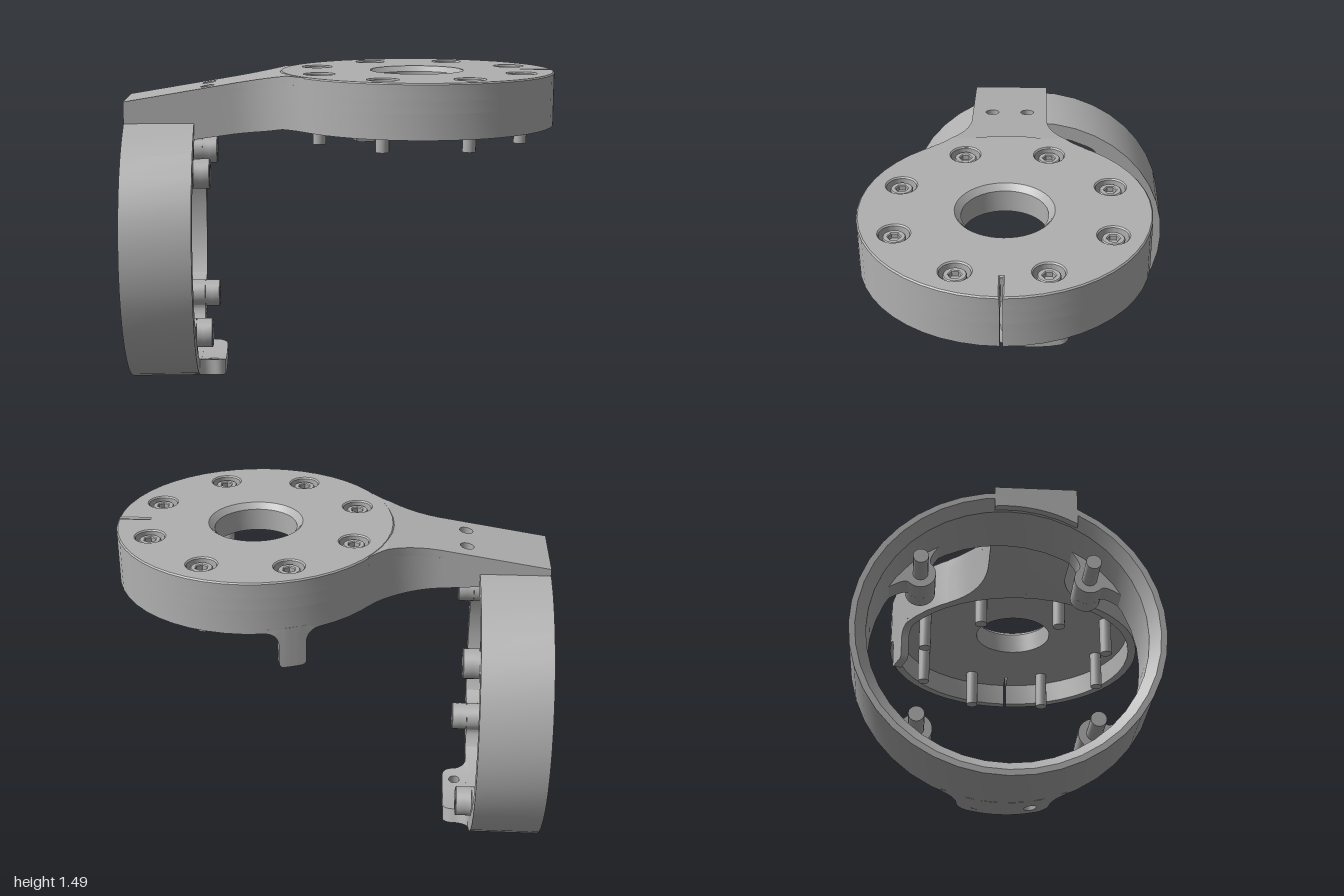
import * as THREE from 'three';
import { toCreasedNormals } from 'three/addons/utils/BufferGeometryUtils.js';

const metal = new THREE.MeshStandardMaterial({ color: 0xb0b0b0 });
metal.name = 'grey metal';

const DISC = { x: 0.355, z: 0.07, r: 0.64 };
const RING = { y: 0.666, z: -0.05, r: 0.666, bore: 0.595 };

function mesh(name, geo, parent) {
  const m = new THREE.Mesh(toCreasedNormals(geo, 0.5), metal);
  m.name = name;
  parent.add(m);
  return m;
}

function circle(x, y, r) {
  return new THREE.Path().absarc(x, y, r, 0, Math.PI * 2, false);
}

// Extrude a plan shape upward from y0 to y1 (shape y becomes -z)
function slab(shape, y0, y1, bevel = 0, curveSegments = 24) {
  const geo = new THREE.ExtrudeGeometry(shape, {
    depth: y1 - y0 - 2 * bevel, bevelEnabled: bevel > 0, bevelSize: bevel,
    bevelThickness: bevel, bevelOffset: -bevel, bevelSegments: 1, curveSegments,
  });
  return geo.rotateX(-Math.PI / 2).translate(0, y0 + bevel, 0);
}

// Socket head screw: seat at y = 0, head above, shaft below
function screw(r, h, socket, shaftR, shaftL) {
  const g = new THREE.Group();
  g.name = 'screw';
  const top = new THREE.Shape().absarc(0, 0, r, 0, Math.PI * 2, false);
  const hex = [];
  for (let i = 0; i < 6; i++) {
    const a = (i * Math.PI) / 3 + Math.PI / 6;
    hex.push(new THREE.Vector2(socket * Math.cos(a), socket * Math.sin(a)));
  }
  top.holes.push(new THREE.Path(hex));
  mesh('screwHead', slab(top, h * 0.3, h, 0.004, 12), g);
  mesh('screwHeadBase', new THREE.CylinderGeometry(r, r, h * 0.5, 24).translate(0, h * 0.25, 0), g);
  mesh('screwShaft', new THREE.CylinderGeometry(shaftR, shaftR, shaftL, 16).translate(0, -shaftL / 2, 0), g);
  return g;
}

// Tab bent round a cylinder: half width b, corner c, root fillet f, length len
function curvedTab(name, R, t, b, c, f, len, holes = []) {
  const g = new THREE.Group();
  g.name = name;
  const root = -0.02;
  const shapes = [];
  for (const side of [1, -1]) {
    const pts = [[b - c, root], [b - c, len]];
    for (let i = 1; i <= 6; i++) {
      const a = (i / 6) * Math.PI / 2;
      pts.push([b - c + c * Math.sin(a), len - c + c * Math.cos(a)]);
    }
    for (let i = 0; i <= 6; i++) {
      const a = (i / 6) * Math.PI / 2;
      pts.push([b + f - f * Math.cos(a), f - f * Math.sin(a)]);
    }
    pts.push([b + f, root]);
    shapes.push(new THREE.Shape(pts.map(([s, h]) => new THREE.Vector2(side * s, h))));
  }
  // straight middle, in strips so that it follows the curve
  const n = 5, w = (2 * (b - c)) / n;
  for (let i = 0; i < n; i++) {
    const s0 = -(b - c) + i * w, s1 = s0 + w;
    const strip = new THREE.Shape([[s0, root], [s1, root], [s1, len], [s0, len]]
      .map(([s, h]) => new THREE.Vector2(s, h)));
    for (const s of holes) if (s > s0 && s < s1) strip.holes.push(circle(s, len / 2, 0.027));
    shapes.push(strip);
  }
  const geo = new THREE.ExtrudeGeometry(shapes, { depth: t, bevelEnabled: false, curveSegments: 8 });
  const p = geo.attributes.position;
  for (let i = 0; i < p.count; i++) {
    const a = p.getX(i) / R, r = R - t + p.getZ(i);
    p.setXYZ(i, r * Math.sin(a), -p.getY(i), -r * Math.cos(a));
  }
  mesh(name + 'Body', geo, g);
  return g;
}

// Arm half width, blending tangentially into the disc
function armWidth(x) {
  return x < -0.508 ? 0.18 : 0.58 - Math.sqrt(0.16 - (x + 0.508) ** 2);
}
const armTop = (x) => Math.min(1.483, 1.36 + (x + 1) * 0.166);

// Thin top skin of the arm between two stations
function armSkin(x0, x1, holes) {
  const near = [], far = [];
  for (let i = 0; i <= 16; i++) {
    const x = x0 + ((x1 - x0) * i) / 16;
    near.push(new THREE.Vector2(x, -DISC.z - armWidth(x)));
    far.unshift(new THREE.Vector2(x, -DISC.z + armWidth(x)));
  }
  const shape = new THREE.Shape([...near, ...far]);
  for (const z of holes) shape.holes.push(circle(-0.62, -z, 0.032));
  const geo = slab(shape, -0.04, 0, 0, 8);
  const p = geo.attributes.position;
  for (let i = 0; i < p.count; i++) p.setY(i, p.getY(i) + armTop(p.getX(i)));
  return geo;
}

// Arm body: sections along x, underside runs from the bore arch to flat
function armBody() {
  const xs = [-1, -0.84, -0.68, -0.6, -0.508];
  for (let i = 1; i <= 10; i++) xs.push(-0.508 + 0.0332 * i);
  const n = 12, m = 2 * (n + 1), pos = [], idx = [];
  for (const xs0 of xs) {
    const lower = [], upper = [];
    for (let j = 0; j <= n; j++) {
      const dz = ((2 * j) / n - 1) * armWidth(xs0), z = DISC.z + dz;
      const x = Math.min(xs0, DISC.x - Math.sqrt(0.62 ** 2 - dz * dz));
      const arch = RING.y + Math.sqrt(0.6 ** 2 - (z - RING.z) ** 2);
      const s = THREE.MathUtils.clamp((x + 0.68) / 0.4, 0, 1);
      lower.push([x, arch + (1.24 - arch) * s, z]);
      upper.unshift([x, armTop(x) - 0.038, z]);
    }
    pos.push(...lower.flat(), ...upper.flat());
  }
  for (let i = 0; i < xs.length - 1; i++) {
    for (let k = 0; k < m; k++) {
      const a = i * m + k, b = i * m + ((k + 1) % m);
      idx.push(a, a + m, b, b, a + m, b + m);
    }
  }
  for (let k = 0; k < n; k++) idx.push(k, k + 1, m - 1 - k, k + 1, m - 2 - k, m - 1 - k);
  const geo = new THREE.BufferGeometry();
  geo.setAttribute('position', new THREE.Float32BufferAttribute(pos, 3));
  geo.setIndex(idx);
  return geo;
}

// Round cover with a narrow slit, centre hole and recessed screws
function makeDisc() {
  const g = new THREE.Group();
  g.name = 'disc';
  g.position.set(DISC.x, 0, DISC.z);
  const R = DISC.r, hw = 0.006, d = hw / R;
  const slitDisc = () => new THREE.Shape().absarc(0, 0, R, d, Math.PI * 2 - d, false)
    .lineTo(0.495, -hw).lineTo(0.495, hw);
  const top = slitDisc(), floor = slitDisc();
  top.holes.push(circle(0, 0, 0.212));
  floor.holes.push(circle(0, 0, 0.19));
  const wall = new THREE.Shape().absarc(0, 0, R, d, Math.PI * 2 - d, false)
    .absarc(0, 0, 0.6, Math.PI * 2 - d, d, true);
  for (let i = 0; i < 8; i++) {
    const a = ((i + 0.5) * Math.PI) / 4, x = 0.5 * Math.cos(a), z = 0.5 * Math.sin(a);
    top.holes.push(circle(x, z, 0.066));
    const s = screw(0.05, 0.05, 0.027, 0.03, 0.255);
    s.position.set(x, 1.42, z);
    g.add(s);
  }
  mesh('discTop', slab(top, 1.405, 1.485, 0.006), g);
  mesh('discFloor', slab(floor, 1.355, 1.42), g);
  mesh('discWall', slab(wall, 1.24, 1.356), g);
  const collar = [[0.19, 1.46], [0.19, 1.356]];
  collar.unshift([0.214, 1.484]);
  mesh('centreHoleChamfer', new THREE.LatheGeometry(collar.map(([r, y]) => new THREE.Vector2(r, y)), 48), g);
  // hanging tab on the rim
  const tab = curvedTab('rimTab', R, 0.04, 0.062, 0.022, 0.06, 0.175);
  tab.position.y = 1.24;
  tab.rotation.y = 0.342;
  g.add(tab);
  return g;
}

// Upright ring with four screw lugs and a drilled foot tab
function makeRing() {
  const g = new THREE.Group();
  g.name = 'ring';
  g.position.set(0, RING.y, RING.z);
  const profile = [[0.64, -1], [RING.r, -1], [RING.r, -0.68], [RING.bore, -0.68], [RING.bore, -0.96], [0.64, -1]]
    .map(([r, y]) => new THREE.Vector2(r, y));
  mesh('ringBand', new THREE.LatheGeometry(profile, 40).rotateZ(-Math.PI / 2), g);

  for (let i = 0; i < 4; i++) {
    const station = new THREE.Group();
    station.name = 'screwStation';
    station.rotation.x = Math.PI / 4 + (i * Math.PI) / 2;
    const lug = new THREE.Shape();
    lug.moveTo(0.61, -0.16);
    lug.lineTo(0.575, -0.16);
    lug.quadraticCurveTo(0.56, -0.068, 0.53, -0.068);
    lug.absarc(0.53, 0, 0.068, -Math.PI / 2, Math.PI / 2, true);
    lug.quadraticCurveTo(0.56, 0.068, 0.575, 0.16);
    lug.lineTo(0.61, 0.16);
    const geo = new THREE.ExtrudeGeometry(lug, { depth: 0.1, bevelEnabled: false, curveSegments: 10 });
    mesh('lug', geo.rotateY(Math.PI / 2).translate(-0.781, 0, 0), station);
    const s = screw(0.068, 0.075, 0.04, 0.034, 0.25);
    s.rotation.z = -Math.PI / 2;
    s.position.set(-0.68, 0, -0.53);
    station.add(s);
    g.add(station);
  }

  const foot = curvedTab('footTab', RING.r, RING.r - RING.bore, 0.2, 0.05, 0.07, 0.12, [-0.115, 0.115]);
  foot.quaternion.setFromRotationMatrix(new THREE.Matrix4().makeBasis(
    new THREE.Vector3(0, 0, -1), new THREE.Vector3(-1, 0, 0), new THREE.Vector3(0, 1, 0)));
  foot.position.x = -0.68;
  g.add(foot);
  return g;
}

export function createModel() {
  const model = new THREE.Group();
  model.name = 'bracket';
  const arm = new THREE.Group();
  arm.name = 'arm';
  mesh('armBody', armBody(), arm);
  mesh('armSlopedTop', armSkin(-1, -0.26, [-0.015, 0.155]), arm);
  mesh('armFlatTop', armSkin(-0.26, -0.176, []), arm);
  model.add(arm, makeDisc(), makeRing());
  return model;
}
